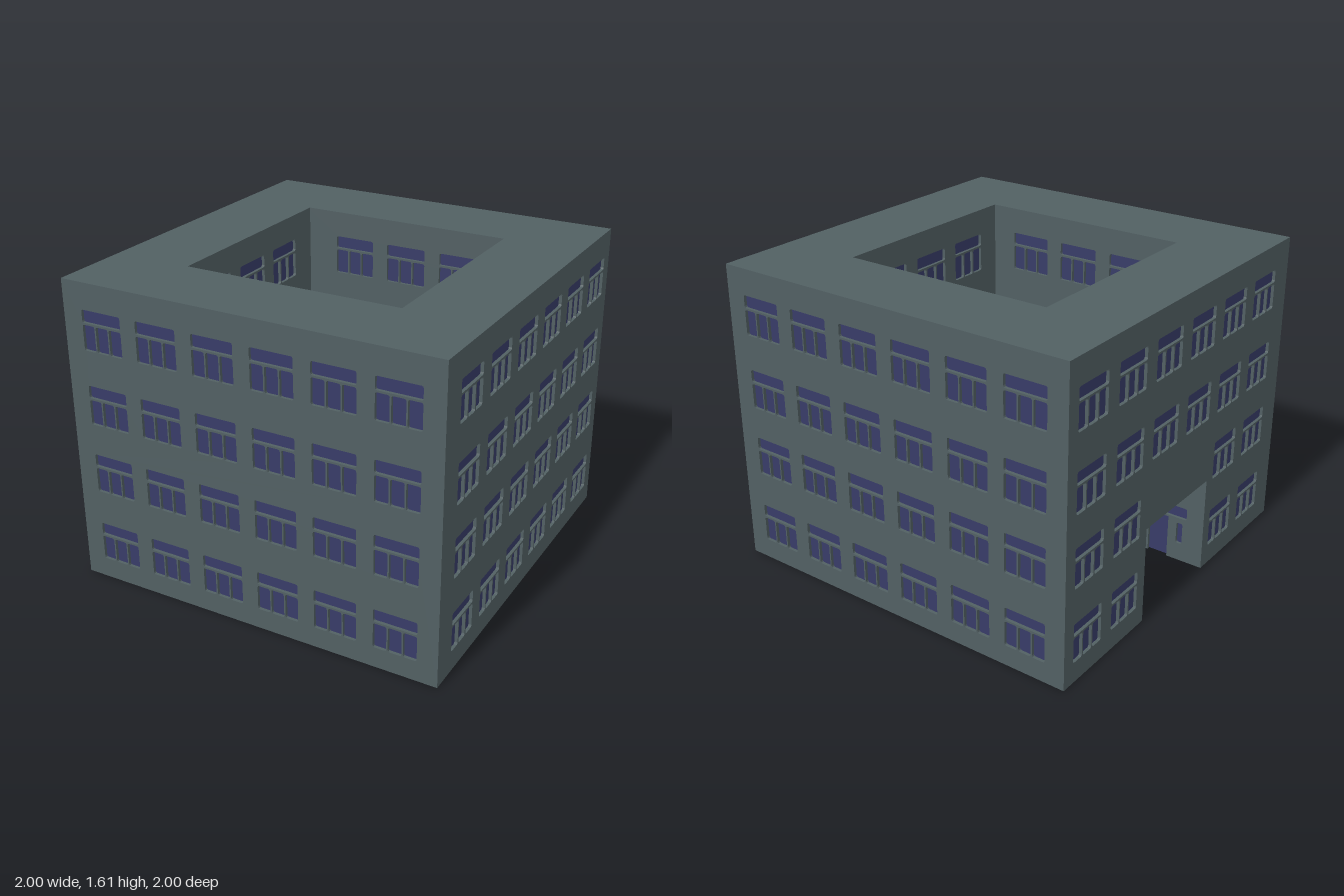
import * as THREE from 'three';
import { mergeGeometries } from 'three/addons/utils/BufferGeometryUtils.js';

const H = 1.61, D = 0.02;                               // wall height, depth of recesses
const IN = { x0: -0.58, x1: 0.575, z0: -0.567, z1: 0.575 }; // courtyard
const PASS = { z0: -0.325, z1: 0.26, h: 0.517 };        // gateway in the -x wing
const SILLS = [0.108, 0.5, 0.873, 1.265];
const WIN_W = 0.225, WIN_H = 0.208;

// Rounded rectangle hole
function pane(x0, y0, x1, y1, r = 0.01) {
  const p = new THREE.Path();
  p.moveTo(x0 + r, y0);
  p.lineTo(x1 - r, y0); p.quadraticCurveTo(x1, y0, x1, y0 + r);
  p.lineTo(x1, y1 - r); p.quadraticCurveTo(x1, y1, x1 - r, y1);
  p.lineTo(x0 + r, y1); p.quadraticCurveTo(x0, y1, x0, y1 - r);
  p.lineTo(x0, y0 + r); p.quadraticCurveTo(x0, y0, x0 + r, y0);
  return p;
}

// Transom over three narrow panes
function windowHoles(c, y) {
  const l = c - WIN_W / 2, w = 0.07, step = (WIN_W - w) / 2;
  const holes = [pane(l, y + 0.142, l + WIN_W, y + WIN_H)];
  for (let i = 0; i < 3; i++) holes.push(pane(l + i * step, y, l + i * step + w, y + 0.132));
  return holes;
}

export function createModel() {
  const wall = new THREE.MeshStandardMaterial({ color: 0x526063 });
  wall.name = 'slate wall';
  const glass = new THREE.MeshStandardMaterial({ color: 0x383c68 });
  glass.name = 'blue glass';
  const model = new THREE.Group();
  model.name = 'courtyardBuilding';

  // A pierced wall skin facing local +z, with glass plates at the back of its openings.
  // windows: [centre, sill]; doors: centres; gate: [u0, u1, height]
  function facade(name, u0, u1, height, turn, x, z, { windows = [], doors = [], gate = null }) {
    const notches = doors.map(c => [c - 0.11, c + 0.005, 0.24]);
    if (gate) notches.push(gate);
    notches.sort((a, b) => a[0] - b[0]);
    const shape = new THREE.Shape();
    shape.moveTo(u0, 0);
    for (const [a, b, h] of notches) {
      shape.lineTo(a, 0); shape.lineTo(a, h); shape.lineTo(b, h); shape.lineTo(b, 0);
    }
    shape.lineTo(u1, 0); shape.lineTo(u1, height); shape.lineTo(u0, height);
    shape.closePath();

    const plates = [];
    const plate = (c, y0, y1) => plates.push(
      new THREE.BoxGeometry(WIN_W, y1 - y0, 0.004).translate(c, (y0 + y1) / 2, -D + 0.002));
    for (const [c, y] of windows) {
      shape.holes.push(...windowHoles(c, y));
      plate(c, y, y + WIN_H);
    }
    for (const c of doors) {
      shape.holes.push(pane(c - 0.112, 0.25, c + 0.112, 0.316), pane(c + 0.055, 0.1, c + 0.09, 0.22));
      plate(c, 0.002, 0.316);
    }
    const group = new THREE.Group();
    group.name = name;
    const skin = new THREE.Mesh(
      new THREE.ExtrudeGeometry(shape, { depth: D, bevelEnabled: false, curveSegments: 2 }).translate(0, 0, -D), wall);
    skin.name = name + 'Skin';
    group.add(skin);
    if (plates.length) {
      const panes = new THREE.Mesh(mergeGeometries(plates), glass);
      panes.name = name + 'Glass';
      group.add(panes);
    }
    group.rotation.y = turn;
    group.position.set(x, 0, z);
    model.add(group);
  }

  const grid = (centres, rows, keep = () => true) =>
    rows.flatMap(r => centres.filter(c => keep(c, r)).map(c => [c, SILLS[r]]));
  const six = mid => [0, 1, 2, 3, 4, 5].map(i => mid + (i - 2.5) * 0.3125);
  const three = mid => [-1, 0, 1].map(i => mid + i * 0.3125);
  const all = [0, 1, 2, 3], Q = Math.PI / 2;

  // Outer facades
  facade('frontFacade', -1, 1, H, 0, 0, 1, { windows: grid(six(0), all) });
  facade('backFacade', -1, 1, H, 2 * Q, 0, -1, { windows: grid(six(0), all) });
  facade('leftFacade', -1 + D, 1 - D, H, Q, 1, 0, { windows: grid(six(0.034), all) });
  facade('gateFacade', -1 + D, 1 - D, H, -Q, -1, 0, {
    windows: grid(six(-0.034), all, (c, r) => r > 1 || c < PASS.z0 || c > PASS.z1),
    gate: [PASS.z0, PASS.z1, PASS.h],
  });

  // Courtyard facades: doors at ground level, windows above
  const upper = [1, 2, 3];
  facade('courtFrontWall', -IN.x1 - D, -IN.x0 + D, H, 2 * Q, 0, IN.z1,
    { windows: grid(three(-0.016), upper), doors: three(-0.016) });
  facade('courtBackWall', IN.x0 - D, IN.x1 + D, H, 0, 0, IN.z0,
    { windows: grid(three(0.016), upper), doors: three(0.016) });
  facade('courtLeftWall', IN.z0, IN.z1, H, -Q, IN.x1, 0,
    { windows: grid(three(0.02), upper), doors: three(0.02) });
  facade('courtGateWall', -IN.z1, -IN.z0, H, Q, IN.x0, 0,
    { windows: grid(three(-0.02), [2, 3]), gate: [-PASS.z1, -PASS.z0, PASS.h] });

  // Gateway side walls, each with a door
  const a = -1 + D, b = IN.x0 - D;
  facade('gatewayFrontWall', -b, -a, PASS.h, 2 * Q, 0, PASS.z1, { doors: [0.79] });
  facade('gatewayBackWall', a, b, PASS.h, 0, 0, PASS.z0, { doors: [-0.79] });

  // Solid wings behind the skins
  function wing(name, x0, x1, z0, z1, y0 = 0) {
    const mesh = new THREE.Mesh(new THREE.BoxGeometry(x1 - x0, H - y0, z1 - z0), wall);
    mesh.position.set((x0 + x1) / 2, (y0 + H) / 2, (z0 + z1) / 2);
    mesh.name = name;
    model.add(mesh);
  }
  const e = 1 - D, zf = IN.z1 + D, zb = IN.z0 - D;
  wing('frontWing', -e, e, zf, e);
  wing('backWing', -e, e, -e, zb);
  wing('leftWing', IN.x1 + D, e, zb, zf);
  wing('gateWingFront', a, b, PASS.z1 + D, zf);
  wing('gateWingBack', a, b, zb, PASS.z0 - D);
  wing('gateLintel', a, b, PASS.z0 - D, PASS.z1 + D, PASS.h);
  return model;
}
